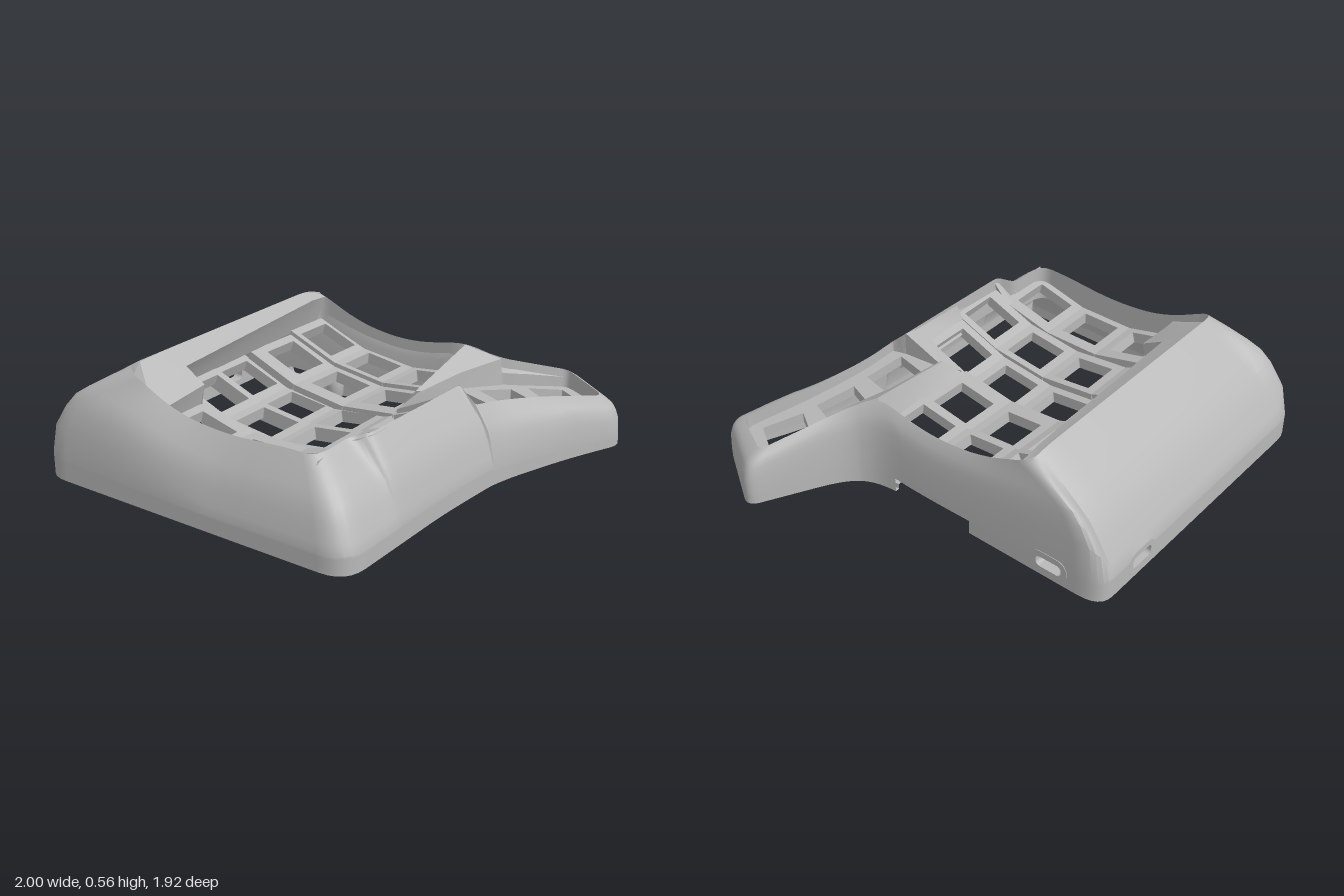
import * as THREE from 'three';
import { toCreasedNormals } from 'three/addons/utils/BufferGeometryUtils.js';

const V = (x, y, z) => new THREE.Vector3(x, y, z);
const { clamp, lerp } = THREE.MathUtils;
const shellGrey = new THREE.MeshStandardMaterial({ color: 0xb8b8b8, side: THREE.DoubleSide });
shellGrey.name = 'shellGrey';

// Corners of the case: base x, z | rim x, y, z | rounding
const CORNERS = [
  [-1, -0.96, -0.86, 0.555, -0.56, 0.13],
  [0.34, -0.96, 0.38, 0.557, -0.56, 0.1],
  [0.53, -0.96, 0.485, 0.535, -0.555, 0.12],
  [0.53, -0.28, 0.485, 0.415, -0.28, 0.5],
  [0.53, 0, 0.485, 0.385, 0, 0.5],
  [0.53, 0.25, 0.485, 0.445, 0.3, 0.12],
  [0.6, 0.39, 0.58, 0.37, 0.42, 0.15],
  [1.025, 0.615, 0.91, 0.25, 0.62, 0.06],
  [0.79, 0.985, 0.78, 0.22, 0.87, 0.08],
  [0.5, 0.855, 0.45, 0.29, 0.72, 0.25],
  [0.2, 0.75, 0.2, 0.335, 0.64, 0.15],
  [0.08, 0.72, 0.05, 0.36, 0.62, 0.02],
  [0.03, 0.712, 0.04, 0.435, 0.54, 0.02],
  [-0.3, 0.69, -0.3, 0.435, 0.53, 0.25],
  [-0.6, 0.69, -0.6, 0.435, 0.52, 0.04],
  [-0.66, 0.69, -0.65, 0.415, 0.45, 0.05],
  [-1, 0.69, -0.86, 0.41, 0.45, 0.13],
  [-1, 0.3, -0.86, 0.41, 0.3, 0.15],
  [-1, 0, -0.86, 0.385, 0, 0.5],
  [-1, -0.28, -0.86, 0.415, -0.28, 0.5],
];
const BASE = CORNERS.map(c => V(c[0], 0, c[1]));
const RIM = CORNERS.map(c => V(c[2], c[3], c[4]));

// Rounded closed loop; the sample count depends only on the base, so loops match up
function roundedLoop(pts, roundness) {
  const n = pts.length, out = [];
  const toward = (i, j) => {
    const len = pts[i].distanceTo(pts[j]);
    return pts[i].clone().lerp(pts[j], Math.min(CORNERS[i][5] * roundness, len * 0.45) / len);
  };
  for (let i = 0; i < n; i++) {
    const next = (i + 1) % n, prev = (i + n - 1) % n;
    const exit = toward(i, next), entry = toward(next, i);
    const bend = new THREE.QuadraticBezierCurve3(toward(i, prev), pts[i], exit);
    out.push(...bend.getPoints(6));
    const steps = Math.ceil(BASE[i].distanceTo(BASE[next]) / 0.04);
    for (let k = 1; k < steps; k++) out.push(exit.clone().lerp(entry, k / steps));
  }
  return out;
}

// Surface over rows of points, leaving out cells for which skip() is true
function gridGeometry(rows, closed = false, skip = () => false) {
  const n = rows[0].length, pos = [], idx = [];
  rows.forEach(row => row.forEach(p => pos.push(p.x, p.y, p.z)));
  for (let k = 0; k < rows.length - 1; k++) {
    for (let i = 0; i < (closed ? n : n - 1); i++) {
      const j = (i + 1) % n;
      const mid = rows[k][i].clone().add(rows[k + 1][j]).multiplyScalar(0.5);
      if (skip(mid)) continue;
      const a = k * n + i, b = k * n + j, c = a + n, d = b + n;
      idx.push(a, c, b, b, c, d);
    }
  }
  const g = new THREE.BufferGeometry();
  g.setAttribute('position', new THREE.Float32BufferAttribute(pos, 3));
  g.setIndex(idx);
  return toCreasedNormals(g, 0.45);
}

function add(parent, geometry, name) {
  const mesh = new THREE.Mesh(geometry, shellGrey);
  mesh.name = name;
  parent.add(mesh);
  return mesh;
}

// How upright the wall stands: right side, low thumb end and back of the left side
function squareness(base, rim) {
  const right = clamp((base.x - 0.45) / 0.08, 0, 1);
  const thumb = rim.z > 0.3 ? clamp((0.4 - rim.y) / 0.13, 0, 1) : 0;
  const left = 0.75 * clamp((-0.87 - base.x) / 0.13, 0, 1) * clamp(-base.z / 0.5, 0, 1);
  return Math.max(right, thumb, left);
}

// Hollow case wall: up the outside, over the rim, down the well and back inside
function caseShell() {
  const base = roundedLoop(BASE, 1), rim = roundedLoop(RIM, 0.65), n = base.length;
  const ring = (t, h, inset = 0, drop = 0) => base.map((b, i) => {
    const tan = base[(i + 1) % n].clone().sub(base[(i + n - 1) % n]).normalize();
    const p = b.clone().lerp(rim[i], t);
    const raised = h > 0.2 ? 0.2 + 0.8 * Math.pow((h - 0.2) / 0.8, 0.4) : h;
    const y = rim[i].y * lerp(h, raised, squareness(b, rim[i])) - drop;
    return V(p.x - tan.z * inset, y, p.z + tan.x * inset);
  });
  const wellBottom = rim.map(p => V(p.x, p.y - (p.x > 0.045 && p.z > 0.4 ? 0.1 : 0.18), p.z));
  const rows = [
    ring(0, 0), ring(0, 0.06), ring(0, 0.17), ring(0, 0.2), ring(0.06, 0.3), ring(0.2, 0.48),
    ring(0.33, 0.62), ring(0.5, 0.73), ring(0.75, 0.87), ring(0.95, 0.975), ring(1, 1), wellBottom,
    ring(0.92, 0.92, 0, 0.03), ring(0.33, 0.58, 0.04), ring(0, 0.2, 0.05),
    ring(0, 0.17, 0.05), ring(0, 0.06, 0.05), ring(0, 0.06, 0.022), ring(0, 0, 0.022), ring(0, 0),
  ];
  const skip = p => {
    const onRight = p.x > 0.45 && p.x < 0.56;
    const portHeight = p.y > 0.035 && p.y < 0.11;
    return (onRight && Math.abs(p.z + 0.02) < 0.21 && p.y < 0.06)
      || (onRight && portHeight && Math.abs(p.z + 0.69) < 0.075)
      || (p.z < -0.88 && portHeight && Math.abs(p.x - 0.24) < 0.075);
  };
  return gridGeometry(rows, true, skip);
}

// Closed rectangle path with rounded corners, optionally turned
function roundRect(path, w, h, r, cx = 0, cy = 0, turn = 0) {
  const pts = [];
  [[1, 1], [-1, 1], [-1, -1], [1, -1]].forEach(([sx, sy], q) => {
    for (let k = 0; k <= 6; k++) {
      const a = (q + k / 6) * Math.PI / 2;
      pts.push(new THREE.Vector2(sx * (w / 2 - r) + r * Math.cos(a), sy * (h / 2 - r) + r * Math.sin(a))
        .rotateAround(new THREE.Vector2(), turn).add(new THREE.Vector2(cx, cy)));
    }
  });
  return path.setFromPoints(pts);
}

// Flat plate facing up whose thickness runs downwards
function plate(shape, depth) {
  return new THREE.ExtrudeGeometry(shape, { depth, bevelEnabled: false }).rotateX(Math.PI / 2);
}

// Concave column of key frames
function keyColumn(parent, { x0, x1, hole, low, zc, keys, yaw }) {
  const R = 1.14, step = 0.248, pitch = 2 * R * Math.tan(step / 2);
  const column = new THREE.Group();
  column.name = 'keyColumn';
  column.position.set((x0 + x1) / 2, low, zc);
  column.rotation.y = yaw;
  const shape = roundRect(new THREE.Shape(), x1 - x0 + 0.01, pitch, 0.001);
  shape.holes.push(roundRect(new THREE.Path(), 0.19, 0.197, 0.004, hole - (x0 + x1) / 2, 0));
  const geometry = plate(shape, 0.055);
  for (const k of keys) {
    const a = k * step;
    const frame = add(column, geometry, 'keyFrame');
    frame.position.set(0, R * (1 - Math.cos(a)), R * Math.sin(a));
    frame.rotation.x = -a;
  }
  parent.add(column);
}

// Sloping thumb plate with three turned key holes
function thumbPlate() {
  const outline = [[0.04, 0.34], [0.33, 0.37], [0.6, 0.44], [0.92, 0.625], [0.785, 0.88], [0.45, 0.725], [0.2, 0.645], [0.04, 0.62]];
  const shape = new THREE.Shape(outline.map(p => new THREE.Vector2(...p)));
  for (const [x, z, turn] of [[0.18, 0.485, 0.24], [0.45, 0.555, 0.36], [0.705, 0.665, 0.55]]) {
    shape.holes.push(roundRect(new THREE.Path(), 0.19, 0.19, 0.004, x, z, turn));
  }
  const g = plate(shape, 0.05), p = g.attributes.position;
  for (let i = 0; i < p.count; i++) {
    p.setY(i, p.getY(i) + 0.3 - 0.17 * (p.getX(i) - 0.18) - 0.1 * (p.getZ(i) - 0.48));
  }
  g.computeVertexNormals();
  return g;
}

// Slot surround for a cable port
function portSurround() {
  const shape = roundRect(new THREE.Shape(), 0.19, 0.115, 0.05);
  shape.holes.push(roundRect(new THREE.Path(), 0.13, 0.055, 0.02));
  return new THREE.ExtrudeGeometry(shape, { depth: 0.05, bevelEnabled: false });
}

export function createModel() {
  const model = new THREE.Group();
  model.name = 'keyboardCase';
  add(model, caseShell(), 'caseShell');

  // Key well
  const three = [-1.5, -0.5, 0.5], four = [...three, 1.5];
  [
    { x0: -0.86, x1: -0.58, hole: -0.73, low: 0.27, zc: 0.04, keys: [-1, 0, 1], yaw: 0 },
    { x0: -0.6, x1: -0.31, hole: -0.435, low: 0.25, zc: 0, keys: four, yaw: 0 },
    { x0: -0.31, x1: -0.05, hole: -0.17, low: 0.225, zc: -0.05, keys: four, yaw: 0 },
    { x0: -0.065, x1: 0.235, hole: 0.1, low: 0.25, zc: 0, keys: three, yaw: -0.035 },
    { x0: 0.235, x1: 0.475, hole: 0.352, low: 0.27, zc: 0.01, keys: three, yaw: -0.025 },
  ].forEach(c => keyColumn(model, c));
  add(model, thumbPlate(), 'thumbPlate');

  // Overhanging lip behind the top row, set further forward over the outer column
  add(model, gridGeometry([
    [V(-0.6, 0.555, -0.56), V(0.37, 0.555, -0.56), V(0.485, 0.53, -0.55)],
    [V(-0.595, 0.495, -0.46), V(0.37, 0.525, -0.505), V(0.48, 0.515, -0.51)],
    [V(-0.595, 0.37, -0.54), V(0.37, 0.385, -0.55), V(0.48, 0.39, -0.55)],
  ]), 'backLip');
  add(model, gridGeometry([
    [V(-0.86, 0.46, -0.56), V(-0.77, 0.55, -0.56), V(-0.59, 0.555, -0.56)],
    [V(-0.865, 0.44, -0.42), V(-0.78, 0.485, -0.45), V(-0.59, 0.495, -0.46)],
    [V(-0.86, 0.415, -0.345), V(-0.78, 0.42, -0.35), V(-0.595, 0.435, -0.355)],
    [V(-0.86, 0.32, -0.385), V(-0.78, 0.32, -0.385), V(-0.595, 0.32, -0.385)],
  ]), 'outerColumnLip');
  add(model, gridGeometry([
    [V(-0.592, 0.495, -0.46), V(-0.595, 0.435, -0.355)],
    [V(-0.592, 0.35, -0.54), V(-0.595, 0.28, -0.385)],
  ]), 'lipStep');

  // Wall between the front rim and the front ends of the columns
  const rimEdge = [[-0.87, 0.395, 0.46], [-0.66, 0.405, 0.46], [-0.6, 0.425, 0.525], [-0.58, 0.425, 0.53],
    [-0.31, 0.425, 0.535], [-0.31, 0.425, 0.535], [-0.04, 0.425, 0.54]];
  const columnEdge = [[-0.87, 0.3, 0.445], [-0.66, 0.3, 0.445], [-0.6, 0.3, 0.445], [-0.6, 0.33, 0.52],
    [-0.31, 0.33, 0.52], [-0.31, 0.3, 0.46], [-0.04, 0.3, 0.46]];
  add(model, gridGeometry([rimEdge.map(p => V(...p)), columnEdge.map(p => V(...p))]), 'frontWellWall');

  // Ridge between key well and thumb keys
  add(model, gridGeometry([
    [V(-0.06, 0.27, 0.27), V(0.22, 0.28, 0.28), V(0.475, 0.3, 0.27)],
    [V(0.02, 0.365, 0.33), V(0.25, 0.402, 0.315), V(0.482, 0.438, 0.3)],
    [V(0.04, 0.36, 0.345), V(0.33, 0.365, 0.375), V(0.585, 0.365, 0.435)],
    [V(0.04, 0.28, 0.345), V(0.33, 0.26, 0.375), V(0.59, 0.21, 0.445)],
  ]), 'thumbRidge');
  add(model, gridGeometry([
    [V(-0.05, 0.22, 0.27), V(-0.05, 0.27, 0.54)],
    [V(-0.05, 0.29, 0.28), V(-0.05, 0.42, 0.54)],
    [V(0.04, 0.36, 0.34), V(0.04, 0.435, 0.54)],
    [V(0.04, 0.28, 0.345), V(0.04, 0.28, 0.62)],
  ]), 'thumbSideWall');

  // Cable ports on the back and right walls
  add(model, portSurround(), 'backPort').position.set(0.24, 0.075, -0.961);
  const side = add(model, portSurround(), 'rightPort');
  side.position.set(0.482, 0.072, -0.69);
  side.rotation.y = Math.PI / 2;

  // Screw bosses inside
  const boss = new THREE.LatheGeometry(
    [[0.018, 0], [0.04, 0], [0.045, 0.1], [0.018, 0.1], [0.018, 0]].map(p => new THREE.Vector2(...p)), 20);
  for (const [x, z] of [[0.44, -0.42], [-0.88, -0.82], [-0.88, 0.57], [0.8, 0.82]]) {
    add(model, boss, 'screwBoss').position.set(x, 0.03, z);
  }
  return model;
}
